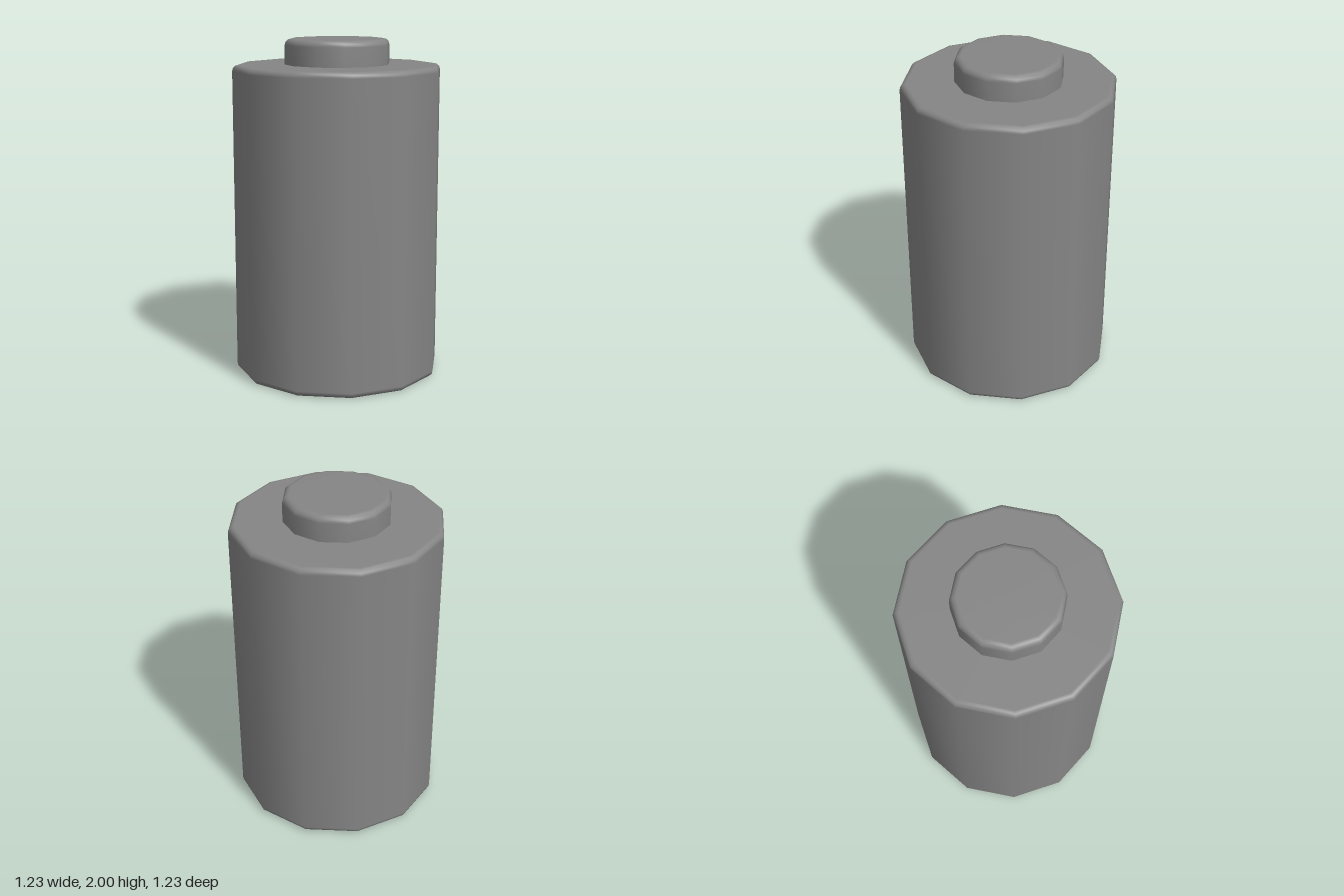
import * as THREE from 'three';

const SIDES = 12;

// Quarter-round edge between a flat face and a wall of the given radius
function roundedEdge(radius, y, bevel, top, steps = 3) {
  const points = [];
  for (let i = 0; i <= steps; i++) {
    const a = (i / steps) * Math.PI / 2;
    const angle = top ? a : a - Math.PI / 2;
    const centerY = top ? y - bevel : y + bevel;
    points.push(new THREE.Vector2(
      radius - bevel + Math.cos(angle) * bevel,
      centerY + Math.sin(angle) * bevel
    ));
  }
  return points;
}

function turnedPart(name, profile, material) {
  const mesh = new THREE.Mesh(new THREE.LatheGeometry(profile, SIDES), material);
  mesh.name = name;
  return mesh;
}

export function createModel() {
  const group = new THREE.Group();
  group.name = 'battery';
  const material = new THREE.MeshStandardMaterial({ color: 0x858585 });

  // Main cylinder, rounded at both rims
  group.add(turnedPart('body', [
    new THREE.Vector2(0, 0),
    ...roundedEdge(0.617, 0, 0.035, false),
    ...roundedEdge(0.617, 1.85, 0.035, true),
    new THREE.Vector2(0, 1.85),
  ], material));

  // Raised contact on top, rounded at its upper rim
  group.add(turnedPart('terminal', [
    new THREE.Vector2(0.31, 1.84),
    ...roundedEdge(0.31, 2, 0.038, true),
    new THREE.Vector2(0, 2),
  ], material));

  return group;
}
